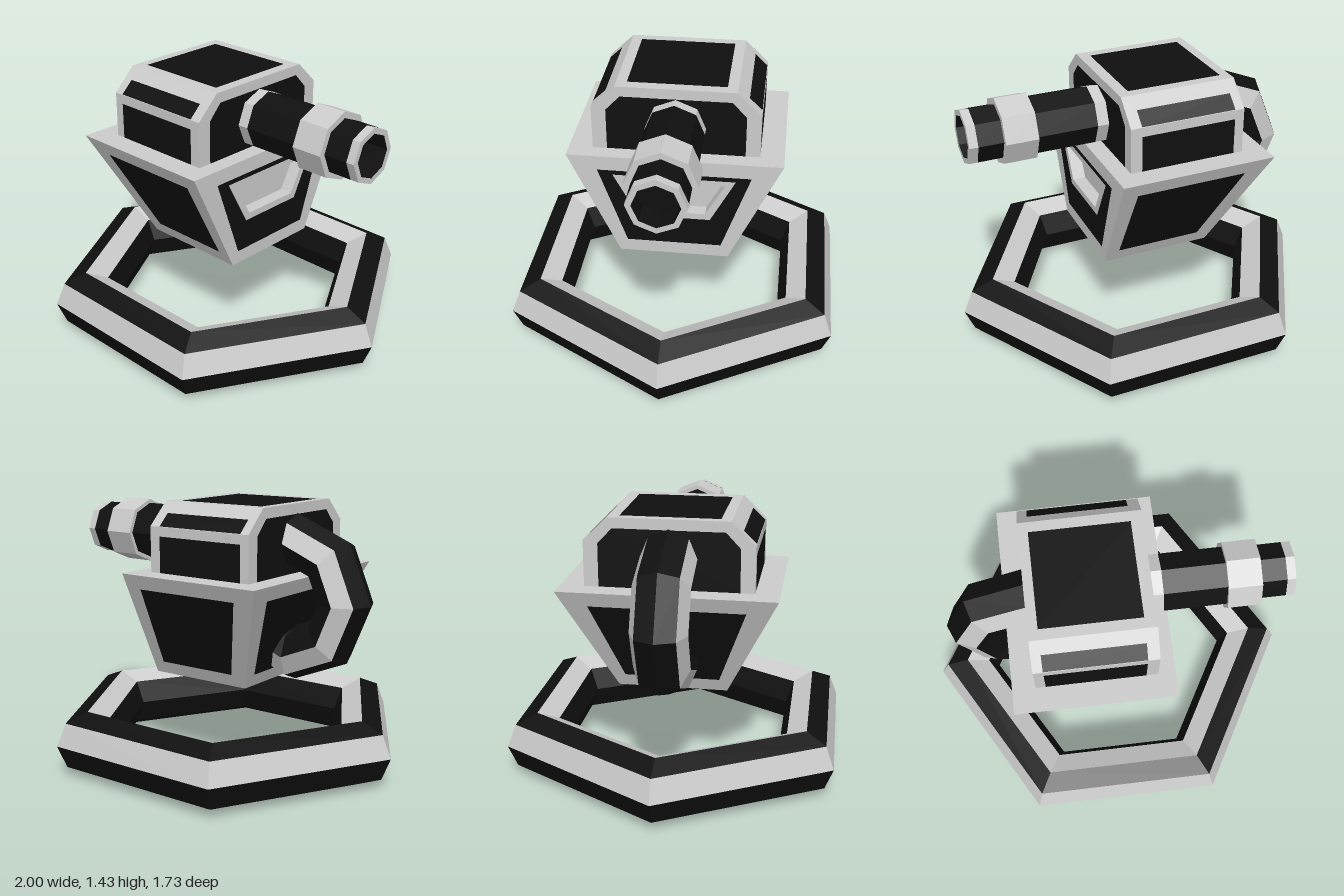
import * as THREE from 'three';

const GREY = 0xcccccc, DARK = 0x0f0f0f;
const material = (color) => new THREE.MeshStandardMaterial({ color, flatShading: true });

export function createModel() {
  const model = new THREE.Group();
  model.name = 'turret';

  const group = (name) => {
    const g = new THREE.Group();
    g.name = name;
    model.add(g);
    return g;
  };
  const add = (parent, name, geometry, color) => {
    const mesh = new THREE.Mesh(geometry, material(color));
    mesh.name = name;
    parent.add(mesh);
  };

  // Nested counter-clockwise loops: strips between neighbours, the last loop is filled.
  const face = (parent, name, loops, colors) => {
    loops.forEach((loop, k) => {
      const next = loops[k + 1], pos = [];
      loop.forEach((p, i) => {
        const j = (i + 1) % loop.length;
        if (next) pos.push(...p, ...loop[j], ...next[j], ...p, ...next[j], ...next[i]);
        else if (i > 0 && j > 0) pos.push(...loop[0], ...p, ...loop[j]);
      });
      const geo = new THREE.BufferGeometry();
      geo.setAttribute('position', new THREE.Float32BufferAttribute(pos, 3));
      geo.computeVertexNormals();
      add(parent, name + (next ? 'Frame' : 'Panel'), geo, colors[k]);
    });
  };
  // Mirror loops across a plane on one axis, keeping them outward facing.
  const mirror = (loops, axis, centre = 0) => loops.map((loop) =>
    loop.map((p) => p.map((v, a) => (a === axis ? 2 * centre - v : v))).reverse());

  // Octagonal tube bent round an axis; only the listed facets are grey.
  const facetRing = (parent, name, R, r, sides, start, sweep, greyFacets, place) => {
    const at = (i) => new THREE.Vector2(R + r * Math.cos(i * Math.PI / 4), r * Math.sin(i * Math.PI / 4));
    for (let i = 0; i < 8; i++) {
      const geo = new THREE.LatheGeometry([at(i), at(i + 1)], sides, start, sweep);
      place(geo);
      add(parent, name, geo, greyFacets.includes(i) ? GREY : DARK);
    }
  };

  // Hexagonal base ring
  facetRing(group('baseRing'), 'baseRingFacet', 0.83, 0.17, 6, Math.PI / 2, Math.PI * 2, [0, 2],
    (g) => g.translate(0, 0.17, 0));

  // Curved loop behind the body, its lower end running into the hopper
  facetRing(group('rearLoop'), 'rearLoopFacet', 0.295, 0.145, 5, Math.PI, Math.PI * 1.25, [1, 6],
    (g) => g.rotateX(Math.PI / 2).translate(-0.42, 0.94, 0));

  // Lower hopper
  const hopper = group('hopper');
  const y0 = 0.49, y1 = 1.07;
  const slope = (a, b, y) => a + (b - a) * (y - y0) / (y1 - y0);
  const zAt = (y) => slope(0.29, 0.56, y), xAt = (y) => slope(-0.3, -0.54, y);

  const side = [
    [[-0.3, y0], [0.29, y0], [0.29, y1], [-0.54, y1]],
    [[-0.235, 0.56], [0.22, 0.56], [0.2, 0.99], [-0.395, 0.99]],
  ].map((loop) => loop.map(([x, y]) => [x, y, zAt(y)]));
  face(hopper, 'hopperLeftSide', side, [GREY, DARK]);
  face(hopper, 'hopperRightSide', mirror(side, 2), [GREY, DARK]);

  const trapezoid = (x, zb, yb, zt, yt) => [[x, yb, zb], [x, yb, -zb], [x, yt, -zt], [x, yt, zt]];
  const outer = trapezoid(0.29, 0.29, y0, 0.56, y1);
  const inner = trapezoid(0.29, 0.25, 0.56, 0.4, 0.99);
  // Muzzle side with a recessed window
  face(hopper, 'hopperWindow', [
    outer, inner,
    trapezoid(0.29, 0.19, 0.72, 0.32, 0.965),
    trapezoid(0.29, 0.165, 0.755, 0.265, 0.935),
    trapezoid(0.22, 0.165, 0.755, 0.265, 0.935),
  ], [GREY, DARK, GREY, GREY, GREY]);
  // Loop side leans outward
  const rear = mirror([outer, inner], 0).map((loop) => loop.map(([, y, z]) => [xAt(y), y, z]));
  face(hopper, 'hopperRear', rear, [GREY, DARK]);
  const flat = (y, xa, xb, z) => [[xa, y, z], [xb, y, z], [xb, y, -z], [xa, y, -z]];
  face(hopper, 'hopperTop', [flat(y1, -0.54, 0.29, 0.56)], [GREY]);
  face(hopper, 'hopperUnderside', [flat(y0, -0.3, 0.29, 0.29).reverse()], [DARK]);

  // Chamfered upper housing
  const housing = group('housing');
  const strip = (xa, xb, [ya, za], [yb, zb]) => [[xa, ya, za], [xb, ya, za], [xb, yb, zb], [xa, yb, zb]];
  const wall = [
    strip(-0.42, 0.2, [y1, 0.435], [1.31, 0.435]),
    strip(-0.37, 0.14, [y1, 0.435], [1.26, 0.435]),
  ];
  const chamfer = [
    strip(-0.42, 0.2, [1.31, 0.435], [1.43, 0.31]),
    strip(-0.37, 0.14, [1.312, 0.433], [1.375, 0.367]),
  ];
  for (const [name, loops] of [['housingSide', wall], ['housingChamfer', chamfer]]) {
    face(housing, name, loops, [GREY, DARK]);
    face(housing, name, mirror(loops, 2), [GREY, DARK]);
  }
  face(housing, 'housingTop', [flat(1.43, -0.42, 0.2, 0.31), flat(1.43, -0.37, 0.14, 0.255)], [GREY, DARK]);
  const end = [
    [[0.435, y1], [0.435, 1.31], [0.31, 1.43]],
    [[0.36, y1], [0.36, 1.295], [0.285, 1.375]],
  ].map((half) => [
    ...half.map(([z, y]) => [0.2, y, -z]),
    ...half.map(([z, y]) => [0.2, y, z]).reverse(),
  ]);
  face(housing, 'housingFrontEnd', end, [GREY, DARK]);
  face(housing, 'housingRearEnd', mirror(end, 0, -0.11), [GREY, DARK]);

  // Octagonal barrel: [name, colour, profile of radius and distance along x]
  const barrel = group('barrel');
  const sections = [
    ['barrelCollar', GREY, [[0.155, 0.2], [0.155, 0.26]]],
    ['barrelTube', DARK, [[0.155, 0.26], [0.155, 0.58]]],
    ['barrelBand', GREY, [[0.155, 0.58], [0.178, 0.58], [0.178, 0.75], [0.145, 0.75]]],
    ['muzzleTube', DARK, [[0.145, 0.75], [0.145, 0.88]]],
    ['muzzleRim', GREY, [[0.145, 0.88], [0.145, 0.925], [0.115, 0.925]]],
    ['bore', DARK, [[0.115, 0.925], [0.115, 0.8], [0, 0.8]]],
  ];
  for (const [name, color, profile] of sections) {
    const geo = new THREE.LatheGeometry(profile.map(([r, x]) => new THREE.Vector2(r, x)), 8);
    add(barrel, name, geo.rotateZ(-Math.PI / 2).translate(0, 1.218, 0), color);
  }

  return model;
}
